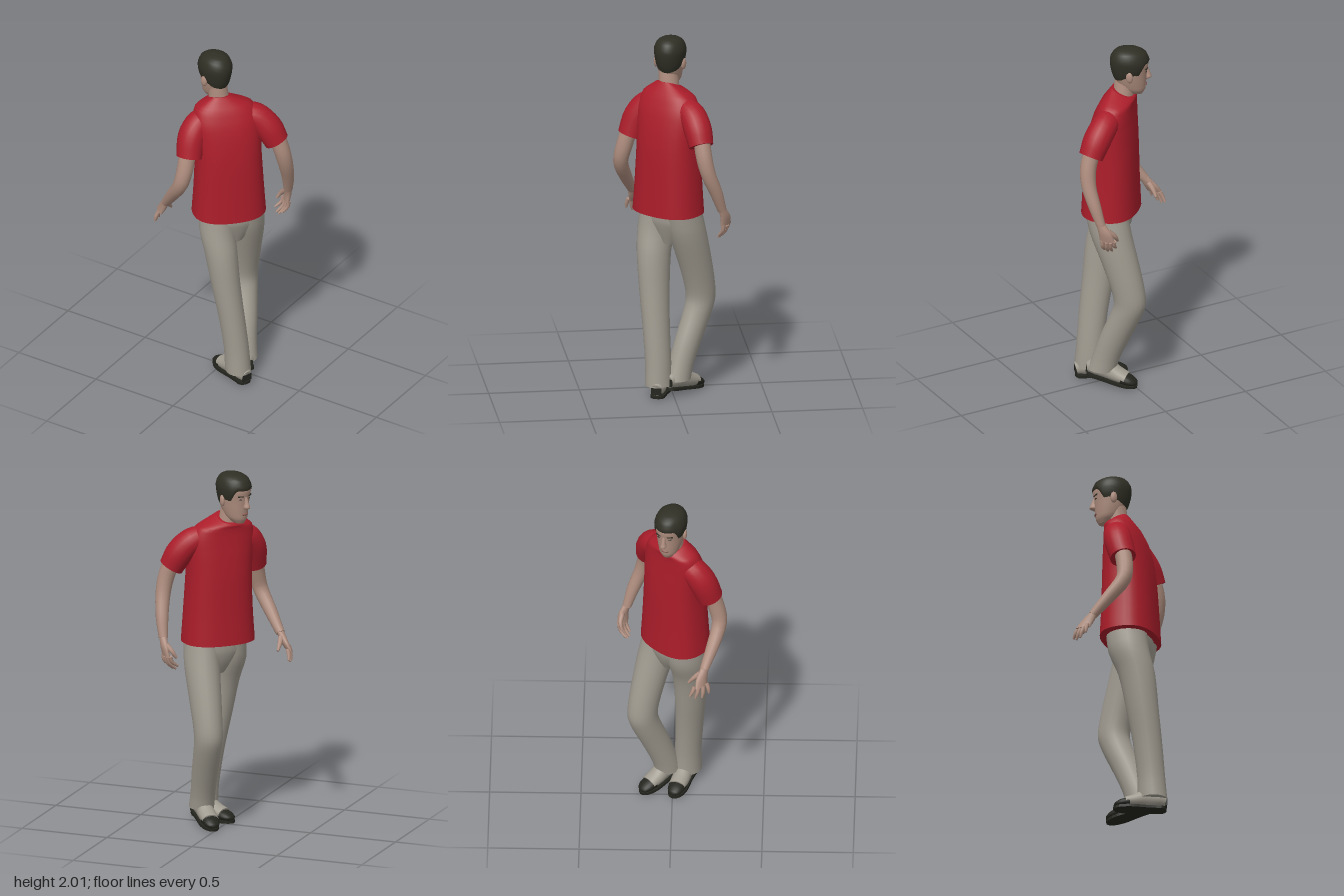
import * as THREE from 'three';

const mat = (name, color) => Object.assign(new THREE.MeshStandardMaterial({ color }), { name });
const power = (v, e) => Math.sign(v) * Math.abs(v) ** e;

// Closed surface through rings [x, y, z, rx, rz], listed from top to bottom.
// With follow, every ring is turned square to the path; e below 1 squares the rings.
function loft(rings, { seg = 20, steps = 3, follow = false, e = 1 } = {}) {
  const path = new THREE.CatmullRomCurve3(rings.map(r => new THREE.Vector3(r[0], r[1], r[2])));
  const size = new THREE.CatmullRomCurve3(rings.map(r => new THREE.Vector3(r[3], r[4] ?? r[3], 0)));
  const n = (rings.length - 1) * steps, pos = [], idx = [];
  const up = new THREE.Vector3(0, 1, 0), q = new THREE.Quaternion();
  for (let i = 0; i <= n; i++) {
    const c = path.getPoint(i / n), s = size.getPoint(i / n);
    if (follow) q.setFromUnitVectors(up, path.getTangent(i / n).negate());
    for (let j = 0; j < seg; j++) {
      const a = j / seg * Math.PI * 2;
      const p = new THREE.Vector3(power(Math.cos(a), e) * s.x, 0, power(Math.sin(a), e) * s.y)
        .applyQuaternion(q).add(c);
      pos.push(p.x, p.y, p.z);
      if (i < n) {
        const a0 = i * seg + j, a1 = i * seg + (j + 1) % seg;
        idx.push(a0, a1, a0 + seg, a1, a1 + seg, a0 + seg);
      }
    }
  }
  // End caps with their own vertices, so the rims stay sharp
  for (const [row, t, flip] of [[0, 0, true], [n, 1, false]]) {
    const base = pos.length / 3;
    pos.push(...pos.slice(row * seg * 3, (row + 1) * seg * 3));
    path.getPoint(t).toArray(pos, pos.length);
    for (let j = 0; j < seg; j++) {
      const a = base + j, b = base + (j + 1) % seg;
      idx.push(base + seg, flip ? b : a, flip ? a : b);
    }
  }
  return build(pos, idx);
}

function build(pos, idx) {
  const g = new THREE.BufferGeometry();
  g.setAttribute('position', new THREE.Float32BufferAttribute(pos, 3));
  g.setIndex(idx);
  g.computeVertexNormals();
  return g;
}

// Head rings from crown to chin
const HEAD = [
  [0, .126, -.005, .008, .01], [0, .119, -.005, .04, .05], [0, .1, -.005, .068, .084],
  [0, .05, -.003, .083, .104], [0, 0, 0, .077, .099], [0, -.06, .012, .067, .088],
  [0, -.11, .03, .054, .07], [0, -.14, .05, .03, .037]];

// Cap of hair: follows the head, with a hairline that drops from brow to nape
function hairGeometry() {
  const path = new THREE.CatmullRomCurve3(HEAD.map(r => new THREE.Vector3(r[0], r[1], r[2])));
  const size = new THREE.CatmullRomCurve3(HEAD.map(r => new THREE.Vector3(r[3], r[4], 0)));
  const seg = 40, rows = 12, pos = [], idx = [];
  for (let i = 0; i <= rows; i++) for (let j = 0; j < seg; j++) {
    const a = j / seg * Math.PI * 2, f = Math.sin(a);
    const line = f > 0 ? .61 - .18 * THREE.MathUtils.smoothstep(f, .45, .8) : .61 - .17 * f;
    const t = line * i / rows, c = path.getPoint(t), s = size.getPoint(t);
    const k = i === 0 ? 0 : i === rows ? 1 : 1.06;
    pos.push(c.x + Math.cos(a) * s.x * k, c.y + .005, c.z + f * s.y * k);
    if (i < rows) {
      const a0 = i * seg + j, a1 = i * seg + (j + 1) % seg;
      idx.push(a0, a1, a0 + seg, a1, a1 + seg, a0 + seg);
    }
  }
  return build(pos, idx);
}

// Shirt body with a collar that dips at the throat
function shirtGeometry() {
  const g = loft([
    [.012, 1.765, .01, .064, .064], [.005, 1.74, .004, .1, .076], [-.006, 1.695, -.014, .16, .09],
    [-.014, 1.62, -.03, .187, .108], [-.02, 1.53, -.038, .186, .124], [-.024, 1.4, -.044, .183, .138],
    [-.026, 1.2, -.048, .192, .147], [-.026, 1.035, -.049, .203, .155]], { seg: 36, e: .83 });
  const p = g.attributes.position;
  for (let i = 0; i < p.count; i++) {
    const y = p.getY(i), dip = Math.max(0, (y - 1.68) / .085) * Math.max(0, p.getZ(i) + .045);
    p.setY(i, y - dip * .4);
  }
  g.computeVertexNormals();
  return g;
}

export function createModel() {
  const skin = mat('skin', 0xae8d7e), hair = mat('hair', 0x2f2f25), red = mat('shirt red', 0xaa1d2a);
  const grey = mat('trouser grey', 0xa09b90), black = mat('shoe black', 0x25251f), lip = mat('lips', 0x8c6058);
  const model = new THREE.Group(), body = new THREE.Group();
  body.name = 'walkingMan';
  body.rotation.y = -Math.PI * 0.75;
  model.add(body);
  const add = (parent, name, geo, m) => {
    const mesh = new THREE.Mesh(geo, m);
    mesh.name = name;
    parent.add(mesh);
    return mesh;
  };

  // Shirt
  add(body, 'shirt', shirtGeometry(), red);
  const sleeves = {
    left: [[.07, 1.635, -.015, .06], [.135, 1.606, -.03, .073], [.18, 1.54, -.055, .078], [.204, 1.43, -.09, .072]],
    right: [[-.09, 1.64, -.018, .06], [-.18, 1.613, -.04, .074], [-.242, 1.55, -.066, .077], [-.286, 1.465, -.09, .068]]
  };

  // Arms, each with a palm, four fingers and a thumb
  const arms = {
    left: [[.205, 1.5, -.08, .047], [.232, 1.37, -.11, .046], [.256, 1.275, -.112, .042],
      [.282, 1.17, -.04, .036], [.304, 1.06, .05, .025]],
    right: [[-.285, 1.5, -.085, .047], [-.315, 1.4, -.098, .045], [-.336, 1.31, -.088, .041],
      [-.358, 1.2, -.048, .035], [-.368, 1.09, -.008, .025]]
  };
  const hands = {
    left: {
      palm: [[.304, 1.07, .045, .02, .026], [.314, 1.02, .078, .019, .04], [.328, .98, .098, .014, .042]],
      roots: [[.312, .985, .132], [.324, .98, .112], [.336, .98, .09], [.342, .99, .068]],
      tips: [[.306, .93, .162], [.324, .915, .138], [.346, .915, .108], [.361, .935, .07]],
      thumb: [[.298, 1.04, .075], [.276, 1.01, .105], [.257, .98, .125]]
    },
    right: {
      palm: [[-.368, 1.1, -.01, .02, .026], [-.372, 1.05, .015, .018, .037], [-.366, 1.0, .026, .015, .042]],
      roots: [[-.356, 1.0, .062], [-.363, .995, .042], [-.367, .995, .021], [-.371, 1.005, -.002]],
      tips: [[-.308, .94, .058], [-.312, .92, .038], [-.32, .92, .018], [-.334, .935, 0]],
      thumb: [[-.366, 1.06, .03], [-.345, 1.025, .064], [-.322, .99, .072]]
    }
  };
  for (const side of ['left', 'right']) {
    add(body, side + 'Sleeve', loft(sleeves[side], { follow: true, steps: 4 }), red);
    add(body, side + 'Arm', loft(arms[side], { follow: true, seg: 14 }), skin);
    const hand = new THREE.Group(), h = hands[side];
    hand.name = side + 'Hand';
    body.add(hand);
    add(hand, 'palm', loft(h.palm, { seg: 14 }), skin);
    h.roots.forEach((r, i) => {
      const tip = h.tips[i];
      const mid = r.map((v, k) => (v + tip[k]) / 2 + (k === 0 ? (side === 'left' ? .004 : -.014) : 0));
      add(hand, 'finger', loft([[...r, .012], [...mid, .011], [...tip, .006]], { follow: true, seg: 8 }), skin);
    });
    add(hand, 'thumb', loft(h.thumb.map((p, i) => [...p, [.017, .013, .007][i]]), { follow: true, seg: 8 }), skin);
  }

  // Trousers
  add(body, 'trouserSeat', loft([
    [-.04, 1.1, -.045, .17, .122], [-.042, 1.0, -.045, .17, .12],
    [-.045, .93, -.045, .125, .1], [-.05, .86, -.05, .06, .07]], { seg: 28 }), grey);
  add(body, 'leftTrouserLeg', loft([
    [.035, 1.04, -.05, .1, .115], [.042, .93, -.066, .099, .114], [.03, .8, -.105, .09, .102],
    [.008, .6, -.13, .08, .09], [-.02, .4, -.15, .072, .081], [-.044, .2, -.163, .069, .077],
    [-.052, .065, -.168, .071, .082]]), grey);
  add(body, 'rightTrouserLeg', loft([
    [-.125, 1.04, -.045, .095, .118], [-.134, .93, -.02, .096, .116], [-.14, .75, .038, .088, .103],
    [-.142, .6, .08, .08, .093], [-.141, .52, .09, .077, .089], [-.138, .45, .07, .075, .088],
    [-.126, .3, .003, .07, .084], [-.114, .16, -.052, .067, .077], [-.112, .085, -.076, .068, .079]]), grey);

  // Shoes: grey upper, thin black sole, toe cap and heel patch
  const soleShape = new THREE.Shape();
  soleShape.moveTo(-.04, -.07);
  soleShape.bezierCurveTo(-.037, -.11, .037, -.11, .04, -.07);
  soleShape.bezierCurveTo(.037, .02, .052, .06, .05, .11);
  soleShape.bezierCurveTo(.045, .22, -.045, .22, -.05, .11);
  soleShape.bezierCurveTo(-.052, .06, -.037, .02, -.04, -.07);
  const soleGeo = new THREE.ExtrudeGeometry(soleShape, { depth: .015, bevelEnabled: false, curveSegments: 10 });
  soleGeo.rotateX(Math.PI / 2).translate(0, .017, 0);
  const upperGeo = loft([[0, .05, -.096, .032, .035], [0, .06, -.06, .043, .047], [0, .066, .01, .046, .055],
    [0, .052, .07, .049, .043], [0, .043, .125, .047, .033]], { follow: true });
  const toeGeo = loft([[0, .04, .105, .049, .034], [0, .034, .15, .044, .026], [0, .027, .178, .03, .016],
    [0, .022, .188, .008, .005]], { follow: true });
  for (const [side, x, y, z, yaw, pitch] of [['left', -.047, 0, -.145, .42, 0], ['right', -.112, .022, -.066, -.05, .15]]) {
    const shoe = new THREE.Group();
    shoe.name = side + 'Shoe';
    shoe.position.set(x, y, z);
    shoe.rotation.set(pitch, yaw, 0, 'YXZ');
    body.add(shoe);
    add(shoe, 'upper', upperGeo, grey);
    add(shoe, 'sole', soleGeo, black);
    add(shoe, 'toeCap', toeGeo, black);
    add(shoe, 'heelPatch', new THREE.BoxGeometry(.058, .04, .008), black).position.set(0, .045, -.098);
  }

  // Neck and head, turned a little to the man's left and tipped down
  add(body, 'neck', loft([[.03, 1.85, .022, .055, .06], [.022, 1.79, .014, .054, .057],
    [.012, 1.69, .006, .06, .058]]), skin);
  const head = new THREE.Group();
  head.name = 'head';
  head.position.set(.03, 1.87, .038);
  head.rotation.set(.1, .38, 0, 'YXZ');
  body.add(head);
  add(head, 'face', loft(HEAD, { seg: 28 }), skin);
  add(head, 'hair', hairGeometry(), hair);
  add(head, 'nose', loft([[0, .018, .094, .008, .008], [0, -.02, .104, .012, .016],
    [0, -.04, .107, .018, .021], [0, -.052, .1, .012, .012]], { seg: 10 }), skin);
  const mouth = add(head, 'lips', new THREE.SphereGeometry(1, 12, 8), lip);
  mouth.scale.set(.024, .008, .01);
  mouth.position.set(0, -.083, .096);
  for (const s of [-1, 1]) {
    const ear = add(head, 'ear', new THREE.SphereGeometry(1, 12, 8), skin);
    ear.scale.set(.012, .033, .02);
    ear.position.set(s * .079, -.018, -.006);
    ear.rotation.set(-.15, s * .35, 0);
    const brow = add(head, 'eyebrow', new THREE.BoxGeometry(.034, .005, .008), hair);
    brow.position.set(s * .034, .022, .09);
    brow.rotation.y = s * .38;
    const eye = add(head, 'eye', new THREE.SphereGeometry(1, 10, 6), black);
    eye.scale.set(.01, .003, .004);
    eye.position.set(s * .033, .003, .089);
    eye.rotation.y = s * .38;
  }
  return model;
}
